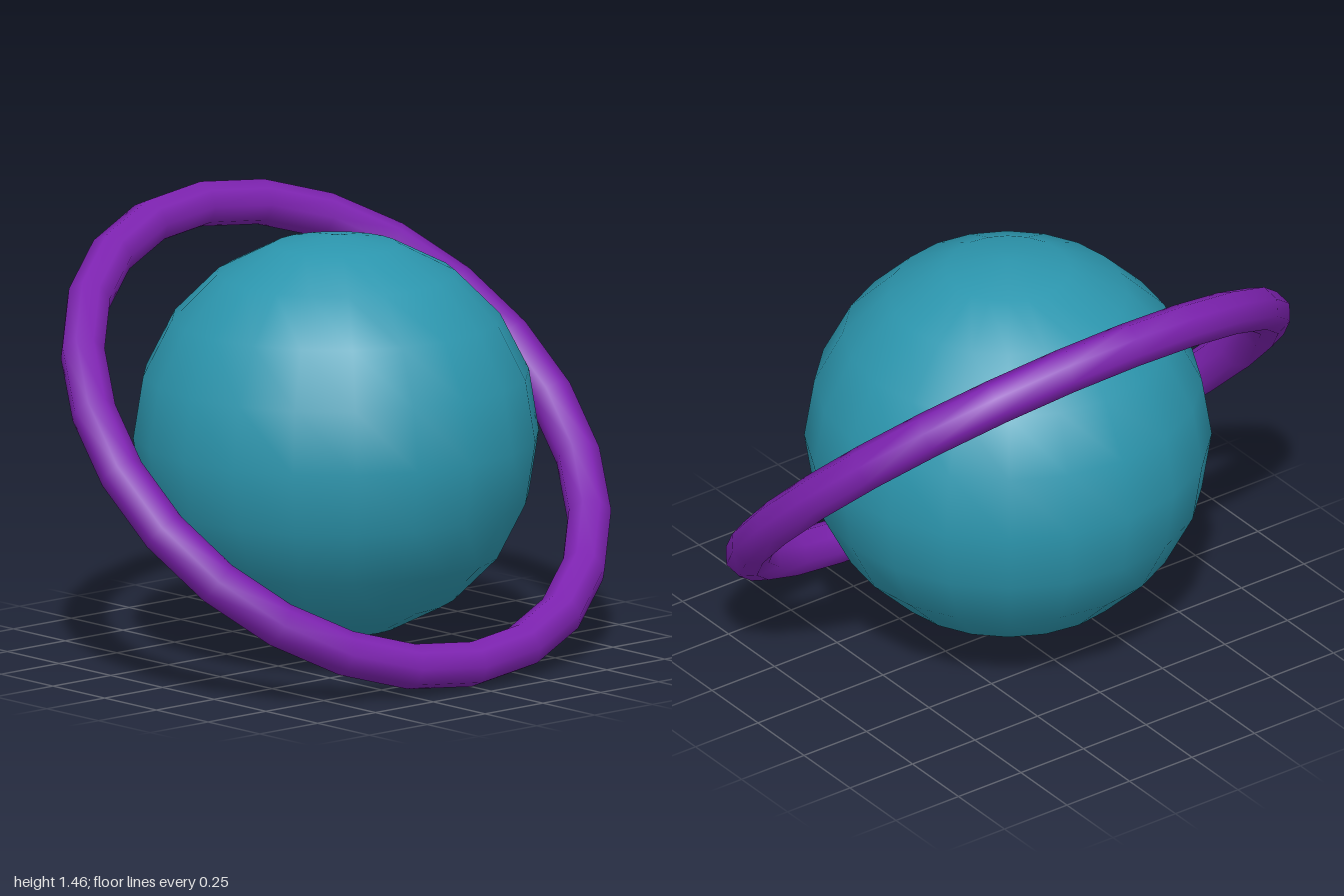
import * as THREE from 'three';

export function createModel() {
  const group = new THREE.Group();
  const centreY = 0.729;

  const add = (name, geometry, color) => {
    const mesh = new THREE.Mesh(geometry, new THREE.MeshStandardMaterial({ color }));
    mesh.name = name;
    mesh.position.y = centreY;
    group.add(mesh);
    return mesh;
  };

  // Planet body
  add('planet', new THREE.SphereGeometry(0.657, 20, 10), 0x2c96ae);

  // Ring tilted 45 degrees, high at the back and low at the front
  const ring = add('ring', new THREE.TorusGeometry(0.926, 0.074, 8, 24), 0x7d22b0);
  ring.rotation.x = -Math.PI / 4;

  return group;
}
